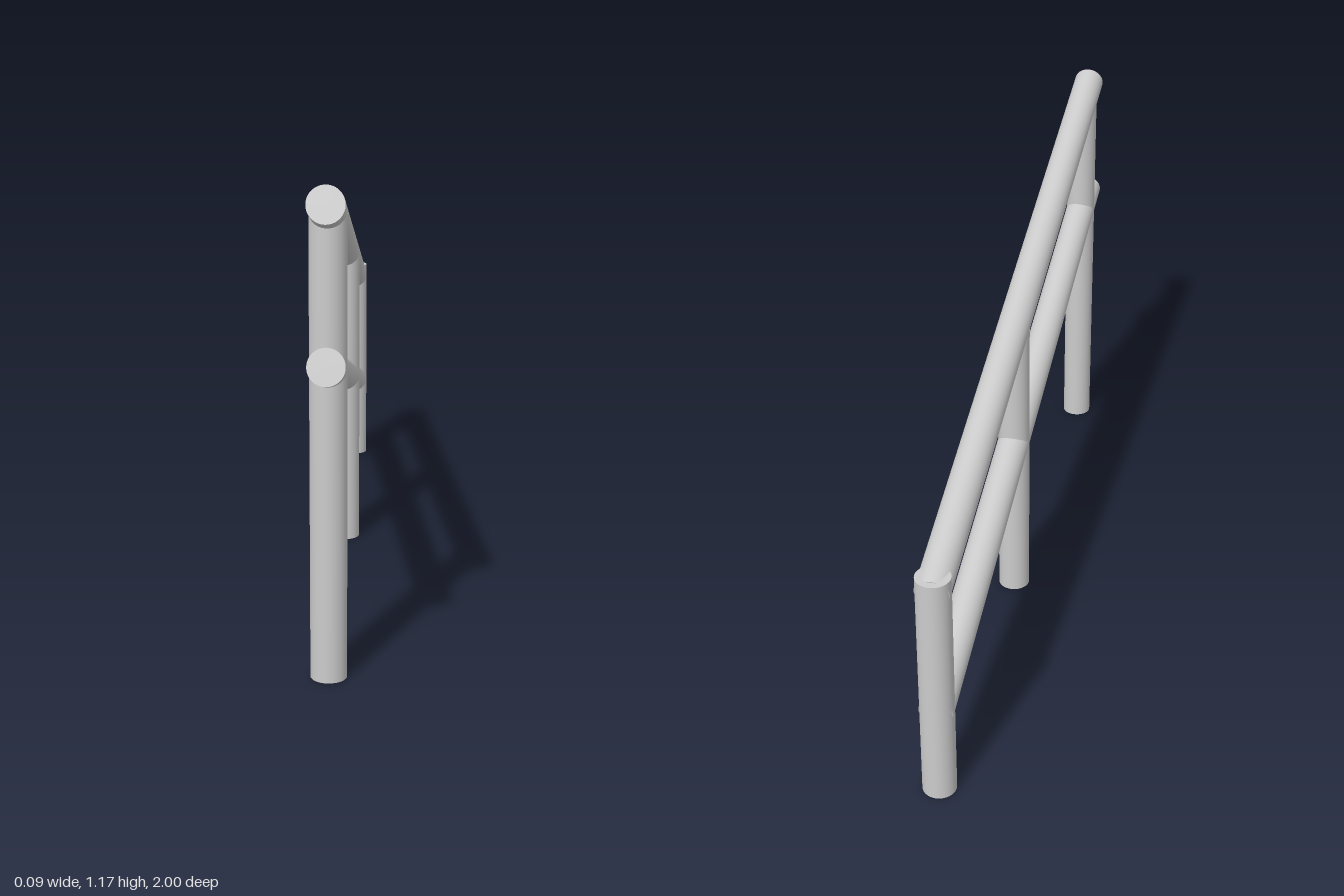
import * as THREE from 'three';

const RADIUS = 0.043;
const SLOPE = 0.265;
const material = new THREE.MeshStandardMaterial({ color: 0xcccccc });

// Round capped bar between two points of the x = 0 plane
function bar(name, y0, z0, y1, z1) {
  const from = new THREE.Vector3(0, y0, z0);
  const to = new THREE.Vector3(0, y1, z1);
  const dir = to.clone().sub(from);
  const mesh = new THREE.Mesh(new THREE.CylinderGeometry(RADIUS, RADIUS, dir.length(), 48), material);
  mesh.name = name;
  mesh.position.copy(from).add(to).multiplyScalar(0.5);
  mesh.quaternion.setFromUnitVectors(new THREE.Vector3(0, 1, 0), dir.normalize());
  return mesh;
}

export function createModel() {
  const group = new THREE.Group();
  group.name = 'slopedRailing';

  // Upright posts: [name, z, top height]
  for (const [name, z, top] of [
    ['frontPost', 0.882, 1.09],
    ['middlePost', -0.102, 0.83],
    ['backPost', -0.957, 0.645],
  ]) group.add(bar(name, 0, z, top, z));

  // Parallel sloping rails: [name, height of the front end]
  const zFront = 0.989, zBack = -0.97;
  for (const [name, y] of [['handRail', 1.125], ['lowerRail', 0.769]]) {
    group.add(bar(name, y - SLOPE * (zFront - zBack), zBack, y, zFront));
  }
  return group;
}
